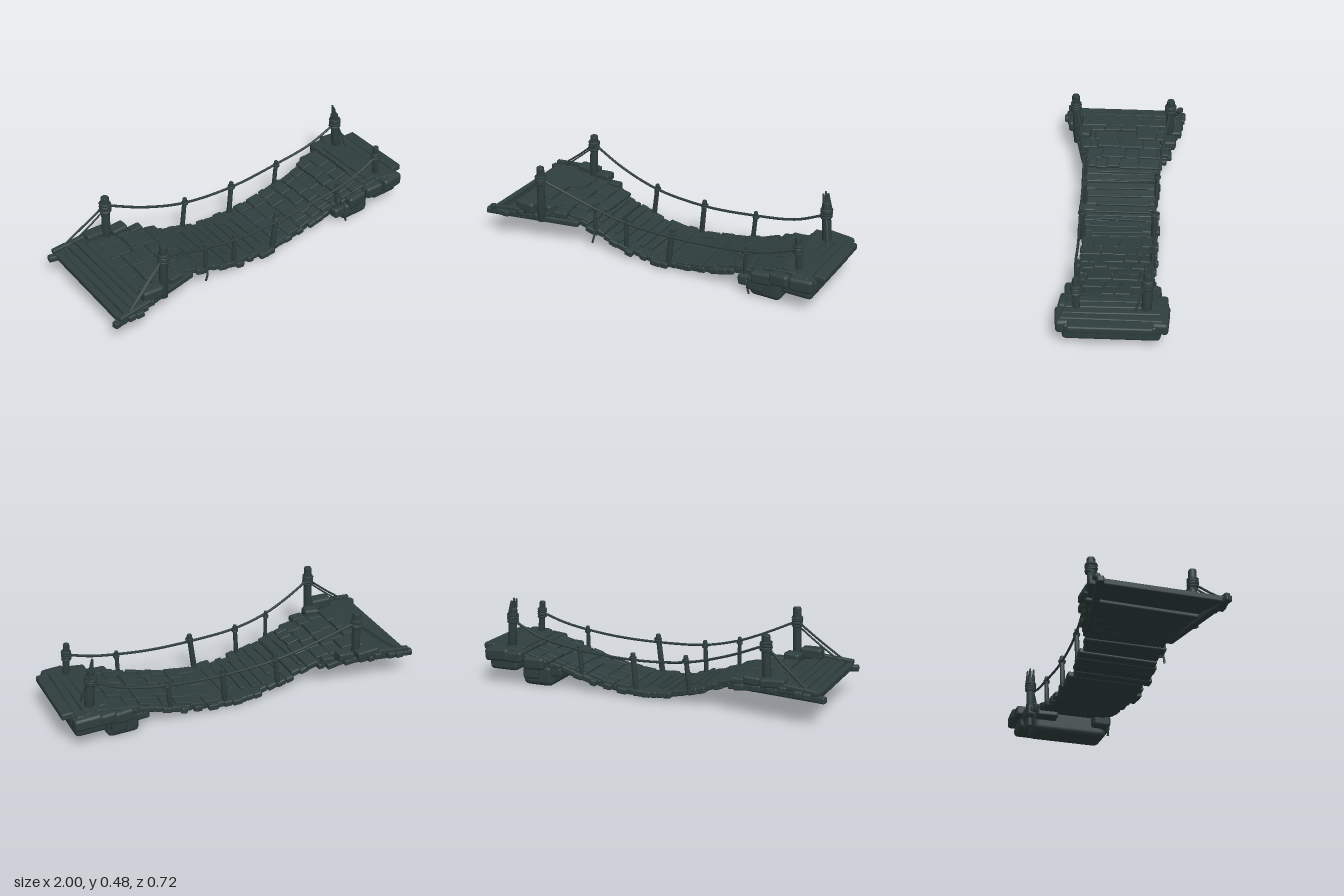
import * as THREE from 'three';
import { RoundedBoxGeometry } from 'three/addons/geometries/RoundedBoxGeometry.js';

export function createModel() {
  const bridge = new THREE.Group();
  bridge.name = 'ropeBridge';
  const mat = new THREE.MeshStandardMaterial({ color: 0x2f3e3e });
  mat.name = 'dark weathered slate';

  let seed = 11;
  const rnd = (a, b) => {
    seed = (seed * 16807) % 2147483647;
    return a + (b - a) * (seed / 2147483647);
  };
  const V = (x, y, z) => new THREE.Vector3(x, y, z);

  // Piecewise linear lookup over [x, value] pairs
  const lookup = (table, x) => {
    let i = 1;
    while (i < table.length - 1 && table[i][0] < x) i++;
    const [x0, v0] = table[i - 1], [x1, v1] = table[i];
    return v0 + (v1 - v0) * THREE.MathUtils.clamp((x - x0) / (x1 - x0), 0, 1);
  };
  const deckTop = x => lookup([[-1, 0.165], [-0.78, 0.185], [-0.6, 0.178], [-0.45, 0.16], [-0.3, 0.115],
    [-0.15, 0.072], [0, 0.05], [0.15, 0.052], [0.3, 0.075], [0.45, 0.115], [0.6, 0.155], [0.75, 0.19], [1, 0.21]], x);
  const slope = x => Math.atan((deckTop(x + 0.04) - deckTop(x - 0.04)) / 0.08);
  const backEdge = x => lookup([[-0.8, -0.34], [-0.6, -0.29], [-0.45, -0.24], [-0.3, -0.215], [0, -0.215],
    [0.5, -0.205], [0.65, -0.23], [0.8, -0.26], [0.95, -0.26]], x);
  const frontEdge = x => lookup([[-0.8, 0.33], [-0.65, 0.28], [-0.5, 0.22], [-0.35, 0.195], [-0.15, 0.21],
    [0.5, 0.2], [0.65, 0.215], [0.8, 0.25], [0.95, 0.25]], x);

  const add = (name, geo, parent = bridge) => {
    const m = new THREE.Mesh(geo, mat);
    m.name = name;
    parent.add(m);
    return m;
  };
  const block = (name, x, y, z, w, h, d, rz = 0, ry = 0, parent = bridge) => {
    const m = add(name, new RoundedBoxGeometry(w, h, d, 2, Math.min(w, h, d) * 0.25), parent);
    m.position.set(x, y, z);
    m.rotation.set(0, ry, rz);
    return m;
  };
  const beam = (name, a, b, w, h) => {
    const m = block(name, 0, 0, 0, w, h, a.distanceTo(b));
    m.position.copy(a).lerp(b, 0.5);
    m.lookAt(b);
  };
  const post = (name, a, b, r0, r1) => {
    const h = a.distanceTo(b), p = (x, y) => new THREE.Vector2(x, y);
    const geo = new THREE.LatheGeometry([p(0, 0), p(r0, 0), p((r0 + r1) / 2, h * 0.5), p(r1, h - 0.008),
      p(r1 * 0.85, h), p(r1 * 0.84, h), p(0, h)], 10);
    const m = add(name, geo);
    m.position.copy(a);
    m.quaternion.setFromUnitVectors(V(0, 1, 0), b.clone().sub(a).normalize());
  };
  const rope = (name, pts, r = 0.007) =>
    add(name, new THREE.TubeGeometry(new THREE.CatmullRomCurve3(pts), 48, r, 6));
  const wraps = (x, y, z, r, n, thick = 0.008) => {
    const g = new THREE.Group();
    g.name = 'ropeWrap';
    for (let i = 0; i < n; i++) {
      const t = add('ropeCoil', new THREE.TorusGeometry(r, thick, 6, 14), g);
      t.position.y = (i - (n - 1) / 2) * thick * 1.7;
      t.rotation.set(Math.PI / 2 + rnd(-0.12, 0.12), rnd(-0.12, 0.12), 0);
    }
    g.position.set(x, y, z);
    bridge.add(g);
  };

  // Cross planks forming the sagging deck
  const deck = new THREE.Group();
  deck.name = 'deck';
  bridge.add(deck);
  for (let x = -0.76; x < 0.8;) {
    const w = rnd(0.034, 0.055), c = x + w / 2;
    const z0 = backEdge(c) + rnd(-0.018, 0.02), z1 = frontEdge(c) + rnd(-0.02, 0.018);
    block('deckPlank', c, deckTop(c) - 0.018 + rnd(-0.003, 0.004), (z0 + z1) / 2,
      w + 0.004, 0.034, z1 - z0, slope(c), rnd(-0.02, 0.02), deck);
    x += w;
  }

  // Flat paving stones over both ends of the deck
  const paving = new THREE.Group();
  paving.name = 'paving';
  bridge.add(paving);
  const pave = (from, to) => {
    for (let x = from; x < to;) {
      const w = rnd(0.06, 0.09), c = x + w / 2, end = frontEdge(c) - 0.015;
      for (let z = backEdge(c) + rnd(0, 0.02); z < end - 0.02;) {
        const d = Math.min(rnd(0.06, 0.14), end - z);
        block('pavingStone', c + rnd(-0.008, 0.008), deckTop(c) + rnd(0, 0.006), z + d / 2,
          w - 0.003, 0.022, d - 0.004, slope(c), rnd(-0.05, 0.05), paving);
        z += d;
      }
      x += w;
    }
  };
  pave(-0.77, -0.45);
  pave(0.12, 0.74);

  // Thin loose boards in the middle
  for (let i = 0; i < 9; i++) {
    const x = -0.38 + i * 0.055;
    block('looseBoard', x, deckTop(x) + 0.003, rnd(-0.04, 0.04), 0.022, 0.014, rnd(0.26, 0.38),
      slope(x), rnd(-0.06, 0.06), deck);
  }

  // Left landing: long cross boards on two splayed rails
  for (const [x, y, w, z0, z1] of [[-0.945, 0.158, 0.04, -0.33, 0.34], [-0.905, 0.165, 0.045, -0.36, 0.35],
    [-0.86, 0.17, 0.045, -0.355, 0.36], [-0.818, 0.176, 0.04, -0.33, 0.34], [-0.778, 0.182, 0.045, -0.345, 0.33]])
    block('landingBoard', x, y, (z0 + z1) / 2, w, 0.035, z1 - z0, 0, rnd(-0.015, 0.015));
  for (const s of [-1, 1]) {
    beam('landingRail', V(-1, 0.15, s * 0.325), V(-0.46, 0.147, s * 0.215), 0.036, 0.034);
    beam('landingRailCap', V(-0.97, 0.18, s * 0.33), V(-0.78, 0.2, s * 0.32), 0.028, 0.026);
  }
  // Boulders along the left landing edges
  for (const [x, y, z, w, h, d] of [[-0.75, 0.22, 0.285, 0.12, 0.065, 0.075], [-0.66, 0.2, 0.225, 0.09, 0.06, 0.07],
    [-0.72, 0.205, -0.3, 0.13, 0.045, 0.07], [-0.6, 0.2, -0.27, 0.09, 0.045, 0.07], [-0.57, 0.185, 0.22, 0.08, 0.035, 0.06],
    [-0.51, 0.18, -0.24, 0.07, 0.03, 0.05]])
    block('edgeStone', x, y, z, w, h, d, rnd(-0.08, 0.08), rnd(-0.15, 0.15));

  // Right landing: heavy slabs below, boards on top
  block('lowerFoundation', 0.67, 0.07, 0, 0.18, 0.125, 0.43);
  block('upperFoundation', 0.86, 0.13, -0.005, 0.17, 0.085, 0.49);
  block('foundationLedge', 0.875, 0.172, 0, 0.17, 0.05, 0.46);
  for (const [x, z0, z1] of [[0.78, -0.2, 0.2], [0.82, -0.24, 0.23], [0.865, -0.25, 0.24], [0.91, -0.26, 0.25]])
    block('landingBoard', x, 0.203, (z0 + z1) / 2, 0.045, 0.03, z1 - z0, 0.04, rnd(-0.02, 0.02));
  block('endBoard', 0.967, 0.204, -0.002, 0.066, 0.037, 0.42);
  // Stones packed around the right landing
  for (const [x, y, z, w, h, d] of [[0.89, 0.175, 0.235, 0.13, 0.075, 0.08], [0.88, 0.18, -0.24, 0.15, 0.07, 0.1],
    [0.77, 0.165, 0.225, 0.11, 0.07, 0.08], [0.78, 0.175, -0.25, 0.1, 0.06, 0.07], [0.66, 0.135, 0.21, 0.12, 0.07, 0.07],
    [0.68, 0.14, -0.215, 0.12, 0.07, 0.07], [0.56, 0.085, 0.17, 0.09, 0.06, 0.1], [0.56, 0.095, -0.15, 0.08, 0.05, 0.12],
    [0.62, 0.085, 0.2, 0.09, 0.08, 0.07], [0.7, 0.09, -0.21, 0.09, 0.08, 0.06]])
    block('landingStone', x, y, z, w, h, d, rnd(-0.1, 0.1), rnd(-0.12, 0.12));

  // Corner posts
  post('cornerPost', V(-0.67, 0.14, 0.27), V(-0.66, 0.468, 0.275), 0.024, 0.022);
  post('cornerPost', V(-0.675, 0.14, -0.265), V(-0.665, 0.442, -0.27), 0.024, 0.023);
  post('cornerPost', V(0.845, 0.17, 0.172), V(0.83, 0.393, 0.172), 0.019, 0.017);
  post('brokenPost', V(0.845, 0.17, -0.175), V(0.822, 0.43, -0.183), 0.027, 0.022);
  for (const [x, y, z] of [[0.808, 0.48, -0.17], [0.812, 0.487, -0.19], [0.822, 0.472, -0.203]])
    post('splinter', V(x + 0.018, 0.38, z + 0.003), V(x, y, z), 0.012, 0.006);
  wraps(-0.663, 0.39, 0.274, 0.024, 4);
  wraps(-0.667, 0.38, -0.269, 0.026, 4);
  wraps(0.834, 0.325, 0.172, 0.02, 4);
  wraps(0.828, 0.37, -0.181, 0.026, 4);

  // Railing posts: [x bottom, y bottom, x top, y top, z, radius]
  for (const [x0, y0, x1, y1, z, r] of [[-0.36, 0.1, -0.36, 0.288, 0.205, 0.011], [-0.172, 0.06, -0.162, 0.252, 0.195, 0.013],
    [0.09, 0.035, 0.118, 0.262, 0.192, 0.016], [0.545, 0.11, 0.55, 0.27, 0.185, 0.012],
    [-0.23, 0.07, -0.206, 0.27, -0.205, 0.014], [0.082, 0.035, 0.1, 0.25, -0.195, 0.015],
    [0.4, 0.08, 0.415, 0.262, -0.195, 0.013]]) {
    post('railPost', V(x0, y0, z), V(x1, y1, z), r, r * 0.9);
    wraps(x1, y1 - 0.03, z, r + 0.001, 2, 0.005);
  }

  // Hand ropes
  rope('handRope', [V(-0.66, 0.39, 0.27), V(-0.5, 0.32, 0.235), V(-0.36, 0.268, 0.215), V(-0.165, 0.225, 0.205),
    V(0.11, 0.213, 0.202), V(0.35, 0.222, 0.195), V(0.55, 0.245, 0.195), V(0.7, 0.278, 0.185), V(0.83, 0.325, 0.175)]);
  rope('handRope', [V(-0.66, 0.385, -0.27), V(-0.45, 0.3, -0.235), V(-0.21, 0.235, -0.212), V(0.1, 0.213, -0.2),
    V(0.41, 0.236, -0.2), V(0.65, 0.28, -0.19), V(0.82, 0.355, -0.183)]);
  // Guy ropes
  for (const s of [-1, 1]) {
    rope('guyRope', [V(-0.67, 0.385, s * 0.275), V(-0.8, 0.275, s * 0.305), V(-0.93, 0.175, s * 0.33)], 0.006);
    rope('guyRope', [V(-0.67, 0.37, s * 0.265), V(-0.77, 0.285, s * 0.28), V(-0.9, 0.18, s * 0.31)], 0.005);
  }
  rope('guyRope', [V(0.83, 0.37, -0.17), V(0.85, 0.3, -0.145), V(0.87, 0.21, -0.12)], 0.006);
  // Loose rope ends hanging below the deck
  rope('ropeEnd', [V(-0.355, 0.15, 0.21), V(-0.36, 0.1, 0.222), V(-0.372, 0.058, 0.222)], 0.006);
  rope('ropeEnd', [V(0.56, 0.12, 0.205), V(0.575, 0.07, 0.222), V(0.59, 0.02, 0.225)], 0.006);

  return bridge;
}
